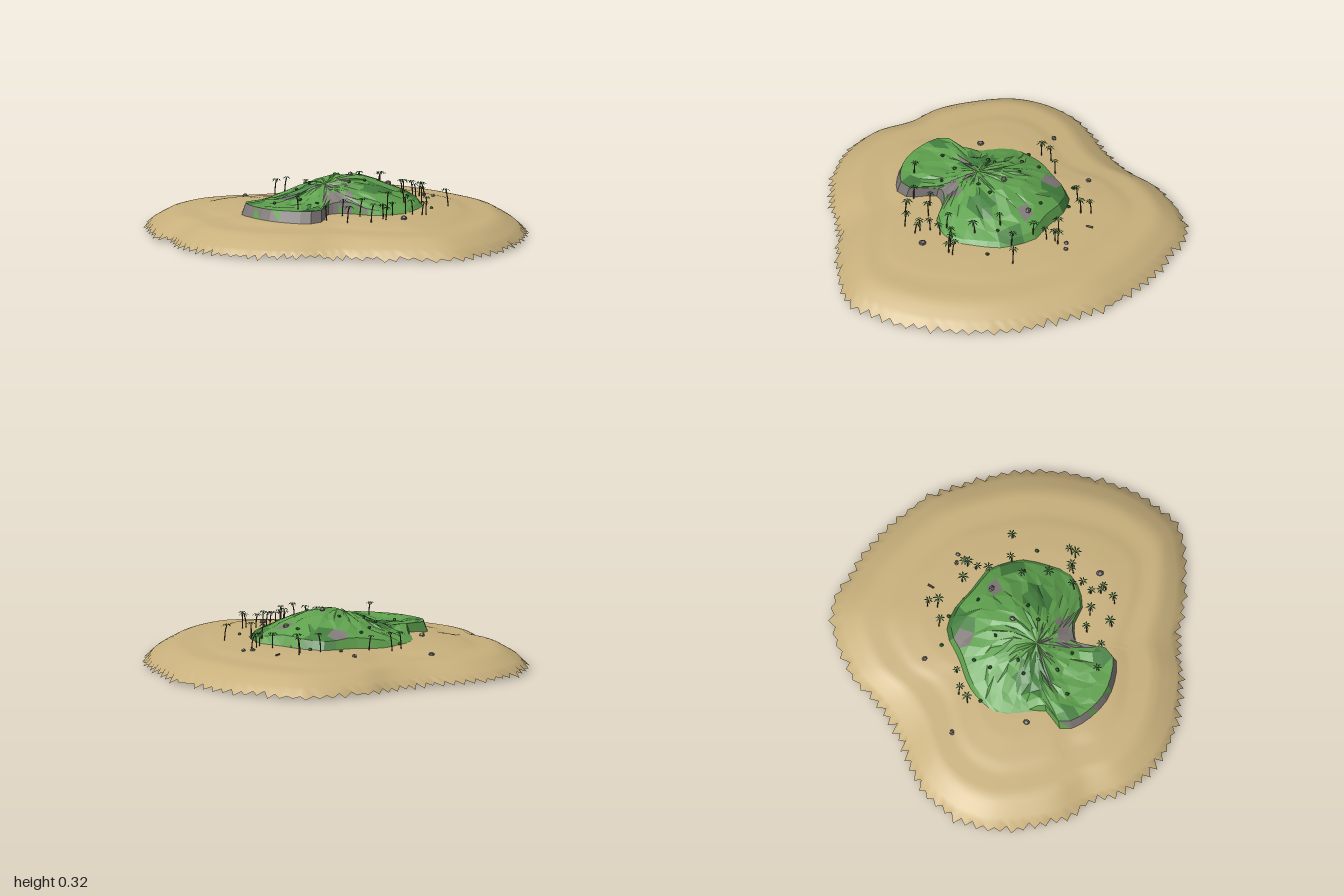
import * as THREE from 'three';
import { mergeGeometries } from 'three/addons/utils/BufferGeometryUtils.js';

const CX = -0.08, CZ = 0.03; // shared centre of the polar grids
const SHORE = [[0.99, 0], [0.97, -0.27], [0.87, -0.5], [0.7, -0.75], [0.47, -0.95], [0.11, -0.95], [-0.1, -0.85],
  [-0.29, -0.8], [-0.61, -0.76], [-0.8, -0.66], [-0.93, -0.5], [-0.99, -0.24], [-0.99, -0.08], [-0.94, 0.08],
  [-0.92, 0.3], [-0.8, 0.51], [-0.66, 0.63], [-0.4, 0.75], [-0.18, 0.79], [0.09, 0.9], [0.3, 0.95], [0.46, 0.95],
  [0.7, 0.78], [0.89, 0.48], [0.97, 0.24]];
const HILL = [[0.44, 0], [0.43, -0.1], [0.35, -0.2], [0.26, -0.33], [0.15, -0.4], [0, -0.38], [-0.2, -0.36],
  [-0.38, -0.25], [-0.4, -0.12], [-0.42, -0.01], [-0.53, 0.03], [-0.54, 0.12], [-0.46, 0.29], [-0.35, 0.38],
  [-0.22, 0.42], [-0.15, 0.36], [-0.11, 0.25], [0.01, 0.26], [0.1, 0.33], [0.28, 0.32], [0.38, 0.2], [0.44, 0.08]];

let seed = 7;
const rnd = () => {
  seed = (seed * 16807) % 2147483647;
  return seed / 2147483647;
};

// Turns a closed outline into a radius-by-angle function
function radial(points) {
  const curve = new THREE.CatmullRomCurve3(points.map(([x, z]) => new THREE.Vector3(x, 0, z)), true);
  const table = curve.getPoints(400)
    .map(p => [Math.atan2(p.z - CZ, p.x - CX), Math.hypot(p.x - CX, p.z - CZ)])
    .sort((a, b) => a[0] - b[0]);
  return angle => {
    const a = Math.atan2(Math.sin(angle), Math.cos(angle));
    let i = table.findIndex(t => t[0] >= a);
    if (i <= 0) return table[0][1];
    const [p, q] = [table[i - 1], table[i]];
    return p[1] + (q[1] - p[1]) * (a - p[0]) / (q[0] - p[0] || 1);
  };
}
const shoreR = radial(SHORE), hillR = radial(HILL);

// Piecewise linear profile
function profile(pts, x) {
  for (let i = 1; i < pts.length; i++) {
    const [a, b] = [pts[i - 1], pts[i]];
    if (x <= b[0]) return a[1] + (b[1] - a[1]) * Math.max(0, x - a[0]) / (b[0] - a[0]);
  }
  return pts[pts.length - 1][1];
}
const BEACH = [[0, 0.02], [0.08, 0.07], [0.14, 0.103], [0.18, 0.116], [0.3, 0.125], [0.36, 0.138], [0.5, 0.152], [0.6, 0.155]];
const PEAK = [[0, 0.308], [0.1, 0.296], [0.2, 0.26], [0.3, 0.215], [0.4, 0.172], [0.46, 0.152]];

function sandHeight(x, z) {
  const dx = x - CX, dz = z - CZ;
  return profile(BEACH, shoreR(Math.atan2(dz, dx)) - Math.hypot(dx, dz));
}
function hillHeight(x, z) {
  const main = profile(PEAK, Math.hypot(x - 0.05, z + 0.05));
  const shelf = profile([[0, 0.196], [0.24, 0.202], [0.32, 0.15]], Math.hypot(x + 0.33, z - 0.2));
  return Math.max(main, shelf);
}
function groundHeight(x, z) {
  const dx = x - CX, dz = z - CZ;
  const inside = Math.hypot(dx, dz) < hillR(Math.atan2(dz, dx)) * 0.97;
  return inside ? hillHeight(x, z) : sandHeight(x, z);
}

// Polar grid of rings; point(angle, ring, column) gives each vertex
function polarGrid(cols, rings, point) {
  const pos = [], index = [];
  for (let j = 0; j < rings; j++)
    for (let i = 0; i < cols; i++) pos.push(...point(i / cols * Math.PI * 2, j, i));
  for (let j = 0; j < rings - 1; j++) {
    for (let i = 0; i < cols; i++) {
      const n = (i + 1) % cols;
      const a = j * cols + i, b = j * cols + n, c = a + cols, d = b + cols;
      index.push(a, b, c, b, d, c);
    }
  }
  const g = new THREE.BufferGeometry();
  g.setAttribute('position', new THREE.Float32BufferAttribute(pos, 3));
  g.setIndex(index);
  g.computeVertexNormals();
  return g;
}

// Sand from under the hill's rim to a ragged shore
function sandGeometry() {
  const rings = 26;
  return polarGrid(200, rings, (a, j, i) => {
    const r0 = hillR(a) * 0.95, r1 = shoreR(a) - 0.02;
    let r = r0 + (r1 - r0) * j / (rings - 1);
    let y = profile(BEACH, r1 + 0.02 - r);
    if (j === rings - 1) {
      const tooth = (i % 2 ? 0.02 : -0.01) + (rnd() - 0.5) * 0.02;
      r += tooth;
      y = Math.max(0, 0.02 - tooth * 0.6 + (rnd() - 0.5) * 0.01);
    }
    return [CX + r * Math.cos(a), y, CZ + r * Math.sin(a)];
  });
}

// Faceted hill: groups 0 grass, 1 dark grass, 2 rock
function hillGeometry() {
  const t = [0, 0.14, 0.28, 0.42, 0.56, 0.7, 0.83, 0.95, 1], cols = 48;
  const source = polarGrid(cols, t.length, (a, j) => {
    const inner = j > 0 && j < t.length - 2;
    const b = a + (inner ? (rnd() - 0.5) * 0.12 : 0);
    const r = hillR(b) * (t[j] + (inner ? (rnd() - 0.5) * 0.06 : 0));
    const x = CX + r * Math.cos(b), z = CZ + r * Math.sin(b);
    const y = j === t.length - 1 ? sandHeight(x, z) - 0.003 : hillHeight(x, z) + (inner ? (rnd() - 0.5) * 0.016 : 0);
    return [x, y, z];
  }).toNonIndexed();
  source.computeVertexNormals();
  const near = (x, z, list) => list.some(([px, pz, s]) => Math.hypot(x - px, z - pz) < s);
  const darkSpots = [[-0.24, -0.03, 0.1], [0.17, -0.33, 0.08], [0.17, 0.1, 0.08], [-0.48, 0.1, 0.05], [0.4, 0.02, 0.06], [-0.2, 0.36, 0.06]];
  const rockSpots = [[-0.07, 0.19, 0.05], [0.01, 0.2, 0.035], [0.06, -0.33, 0.04], [0.3, -0.11, 0.03]];
  const p = source.attributes.position, n = source.attributes.normal;
  const sets = [[], [], []];
  for (let f = 0; f < p.count; f += 3) {
    const x = (p.getX(f) + p.getX(f + 1) + p.getX(f + 2)) / 3;
    const z = (p.getZ(f) + p.getZ(f + 1) + p.getZ(f + 2)) / 3;
    const cliff = n.getY(f) < 0.65 && z > 0.02 && x < 0.1 && rnd() > 0.15;
    const kind = cliff || near(x, z, rockSpots) ? 2 : near(x, z, darkSpots) ? 1 : 0;
    sets[kind].push(f, f + 1, f + 2);
  }
  source.setIndex(sets.flat());
  let start = 0;
  sets.forEach((s, k) => {
    source.addGroup(start, s.length, k);
    start += s.length;
  });
  return source;
}

// Crown of drooping leaves, pointed at both ends
function crownGeometry() {
  const fronds = [];
  for (let i = 0; i < 7; i++) {
    const g = new THREE.BufferGeometry();
    g.setAttribute('position', new THREE.Float32BufferAttribute(
      [0, 0, 0, 0.017, 0.003, 0.0045, 0.017, 0.003, -0.0045, 0.032, -0.008, 0], 3));
    g.setIndex([0, 1, 2, 1, 3, 2]);
    g.computeVertexNormals();
    fronds.push(g.rotateY(i / 7 * Math.PI * 2));
  }
  return mergeGeometries(fronds);
}

export function createModel() {
  const island = new THREE.Group();
  island.name = 'island';
  const mat = (name, color, side = THREE.FrontSide) => {
    const m = new THREE.MeshStandardMaterial({ color, side });
    m.name = name;
    return m;
  };
  const sand = mat('sand', 0xc8b07c, THREE.DoubleSide);
  const grass = mat('grass', 0x5fa14e, THREE.DoubleSide);
  const darkGrass = mat('dark grass', 0x447f3e, THREE.DoubleSide);
  const rock = mat('rock', 0x807a78, THREE.DoubleSide);
  const stone = mat('stone', 0x6b6463);
  const bark = mat('bark', 0x5a4030);
  const leaf = mat('palm leaf', 0x2f6e34, THREE.DoubleSide);
  const bush = mat('bush', 0x2c6030);
  const add = (parent, name, geometry, material) => {
    const m = new THREE.Mesh(geometry, material);
    m.name = name;
    parent.add(m);
    return m;
  };
  add(island, 'beach', sandGeometry(), sand);
  add(island, 'hill', hillGeometry(), [grass, darkGrass, rock]);

  // Palms around the foot of the hill
  const crown = crownGeometry();
  const palms = [[-0.25, -0.4], [-0.19, -0.42], [-0.09, -0.41], [0.2, -0.42], [0.32, -0.45], [0.31, -0.4], [0.4, -0.24],
    [0.49, -0.21], [0.48, -0.19], [0.44, -0.15], [0.41, -0.1], [0.44, 0.03], [0.56, 0.07], [0.32, 0.06], [0.3, 0.2],
    [0.2, 0.3], [0.21, 0.36], [0.29, 0.32], [0.32, 0.33], [0.4, 0.34], [0.38, 0.37], [0.05, 0.36], [-0.04, 0.31],
    [-0.15, 0.36], [-0.29, 0.3], [-0.04, 0.44], [0.08, 0.49], [0.15, 0.39], [0.14, 0.44], [0.16, 0.46]];
  for (const [x, z] of palms) {
    const palm = new THREE.Group();
    palm.name = 'palm';
    const h = 0.062 + rnd() * 0.035, lx = (rnd() - 0.5) * 0.025, lz = (rnd() - 0.5) * 0.025;
    const path = new THREE.QuadraticBezierCurve3(
      new THREE.Vector3(-lx, -0.008, -lz), new THREE.Vector3(-lx, h * 0.6, -lz), new THREE.Vector3(0, h, 0));
    add(palm, 'trunk', new THREE.TubeGeometry(path, 4, 0.0032, 5), bark);
    const top = add(palm, 'crown', crown, leaf);
    top.position.y = h;
    top.rotation.y = rnd() * 6;
    top.scale.setScalar(0.75 + rnd() * 0.3);
    palm.position.set(x, Math.min(groundHeight(x, z), 0.205), z);
    island.add(palm);
  }

  // Boulders and bushes
  const scatter = (name, spots, geometry, material) => spots.forEach(([x, z, s]) => {
    const m = add(island, name, geometry, material);
    m.position.set(x, groundHeight(x, z) + s * 0.3, z);
    m.rotation.y = rnd() * 6;
    m.scale.set(s, s * 0.75, s * 0.85);
  });
  scatter('boulder', [[-0.39, -0.52, 0.016], [0.04, -0.55, 0.015], [-0.45, -0.13, 0.018], [0.25, 0.465, 0.02],
    [0.075, -0.06, 0.016], [0.51, -0.245, 0.014], [0.555, -0.225, 0.013], [0.29, -0.115, 0.018]],
  new THREE.DodecahedronGeometry(1), stone);
  scatter('bush', [[-0.27, -0.33, 0.013], [-0.13, -0.24, 0.012], [-0.065, -0.31, 0.012], [0.015, -0.17, 0.012],
    [-0.14, -0.09, 0.012], [0.23, -0.365, 0.012], [0.085, -0.445, 0.012], [-0.23, 0.1, 0.013], [-0.37, 0.115, 0.012],
    [-0.16, 0.2, 0.012], [0.13, 0.04, 0.012], [0.04, 0.07, 0.012], [0.35, 0.08, 0.012], [0.46, 0.18, 0.012],
    [0.25, -0.2, 0.012], [0.3, -0.26, 0.012], [-0.21, -0.08, 0.012]], new THREE.IcosahedronGeometry(1), bush);

  // Driftwood
  const log = add(island, 'driftwood', new THREE.CylinderGeometry(0.005, 0.006, 0.035, 6), bark);
  log.rotation.set(Math.PI / 2, 0, 0.8);
  log.position.set(0.42, sandHeight(0.42, -0.41) + 0.004, -0.41);
  return island;
}
